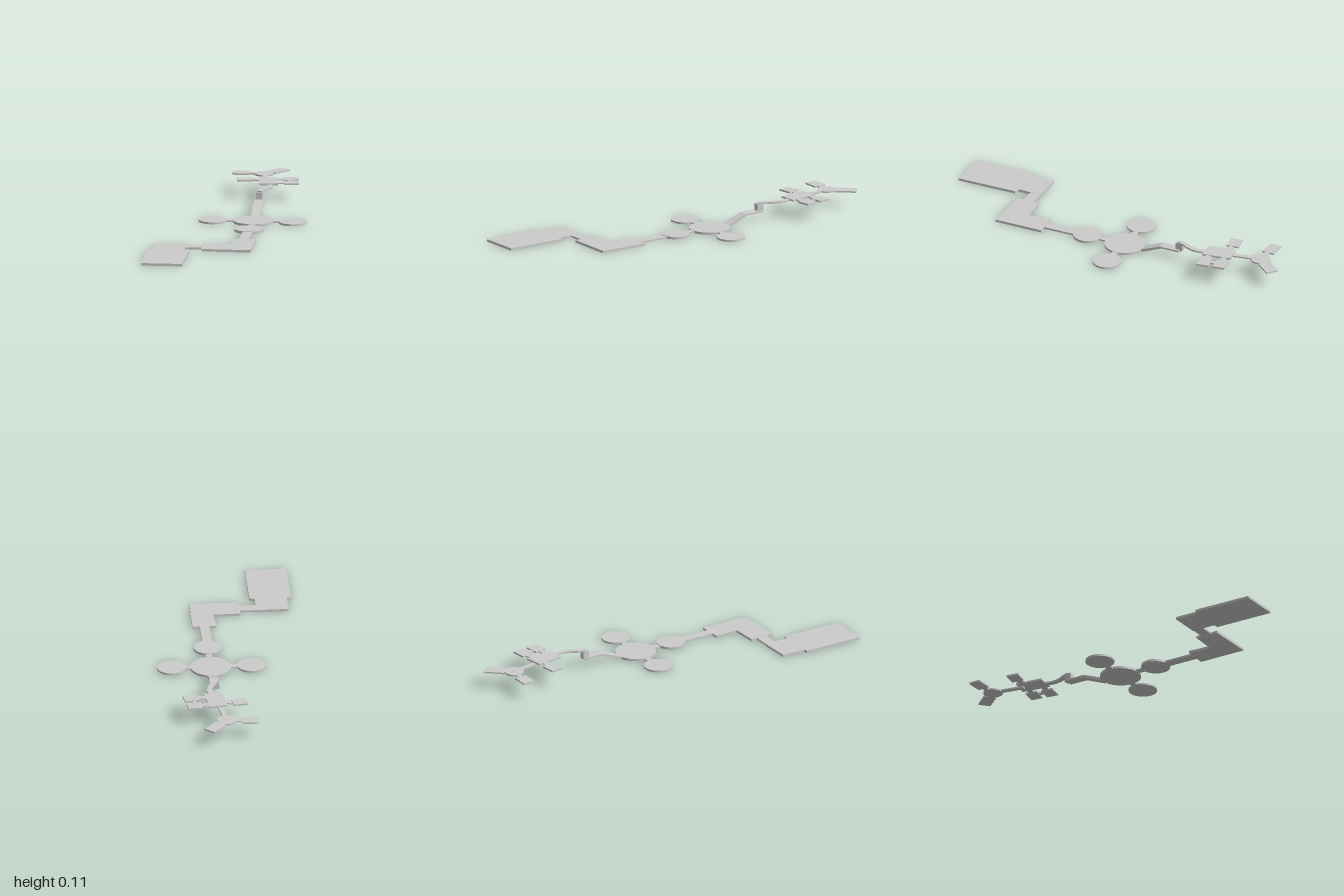
import * as THREE from 'three';

const material = new THREE.MeshStandardMaterial({ color: 0xcccccc });

export function createModel() {
  const root = new THREE.Group();
  root.name = 'chamberMap';

  const add = (name, geometry) => {
    const mesh = new THREE.Mesh(geometry, material);
    mesh.name = name;
    root.add(mesh);
    return mesh;
  };

  // Flat slab with an outline in x, z and a height range
  const slab = (name, points, y0, y1) => {
    const shape = new THREE.Shape(points.map(([x, z]) => new THREE.Vector2(x, -z)));
    const geometry = new THREE.ExtrudeGeometry(shape, { depth: y1 - y0, bevelEnabled: false });
    geometry.rotateX(-Math.PI / 2);
    geometry.translate(0, y0, 0);
    return add(name, geometry);
  };

  // Round slab
  const disc = (name, x, z, r, y0, y1) => {
    const mesh = add(name, new THREE.CylinderGeometry(r, r, y1 - y0, 48));
    mesh.position.set(x, (y0 + y1) / 2, z);
  };

  // Straight box running from a to b in x, z
  const bar = (name, a, b, width, y0, y1) => {
    const dx = b[0] - a[0], dz = b[1] - a[1];
    const mesh = add(name, new THREE.BoxGeometry(width, y1 - y0, Math.hypot(dx, dz)));
    mesh.position.set((a[0] + b[0]) / 2, (y0 + y1) / 2, (a[1] + b[1]) / 2);
    mesh.rotation.y = Math.atan2(dx, dz);
  };

  // Large angular halls
  slab('largeHall', [
    [0.156, 0.603], [0.293, 0.481], [0.383, 0.587], [0.41, 0.573],
    [0.642, 0.84], [0.465, 0.995], [0.232, 0.728], [0.246, 0.708],
  ], 0, 0.014);
  slab('cornerHall', [
    [0.457, 0.1], [0.642, 0.317], [0.43, 0.497],
    [0.34, 0.395], [0.452, 0.292], [0.357, 0.192],
  ], 0, 0.014);
  bar('hallPassage', [0.4, 0.432], [0.295, 0.523], 0.062, 0.002, 0.013);

  // Round chambers around the hub
  const hub = [0.082, -0.227];
  disc('hubChamber', ...hub, 0.116, 0.002, 0.015);
  const chambers = [[0.256, -0.368, 0.081], [-0.087, -0.072, 0.082], [0.235, -0.05, 0.082]];
  chambers.forEach(([x, z, r], i) => {
    disc('roundChamber' + (i + 1), x, z, r, 0.003, i === 2 ? 0.017 : 0.014);
    bar('chamberPassage' + (i + 1), hub, [x, z], 0.035, 0.004, 0.013);
  });
  bar('longPassage', [0.235, -0.05], [0.42, 0.163], 0.055, 0.003, 0.014);

  // Sloping ramp: side profile extruded across its width
  const profile = new THREE.Shape([
    [0.06, 0.003], [0.125, 0.003], [0.24, 0.051], [0.348, 0.051],
    [0.348, 0.061], [0.23, 0.061], [0.11, 0.014], [0.06, 0.014],
  ].map((p) => new THREE.Vector2(...p)));
  const rampGeometry = new THREE.ExtrudeGeometry(profile, { depth: 0.054, bevelEnabled: false });
  rampGeometry.translate(0, 0, -0.027);
  const ramp = add('ramp', rampGeometry);
  ramp.position.set(hub[0], 0, hub[1]);
  ramp.rotation.y = Math.atan2(0.756, -0.655);

  // Shaft and winding passage to the upper level
  bar('shaft', [-0.132, -0.468], [-0.157, -0.497], 0.034, 0.053, 0.1);
  const path = new THREE.CatmullRomCurve3([
    [-0.143, -0.478], [-0.16, -0.52], [-0.168, -0.56], [-0.19, -0.605], [-0.235, -0.645],
  ].map(([x, z]) => new THREE.Vector3(x, 0, z)));
  const sides = [[], []];
  for (let i = 0; i <= 16; i++) {
    const p = path.getPoint(i / 16), t = path.getTangent(i / 16);
    sides[0].push([p.x - t.z * 0.014, p.z + t.x * 0.014]);
    sides[1].unshift([p.x + t.z * 0.014, p.z - t.x * 0.014]);
  }
  slab('windingPassage', [...sides[0], ...sides[1]], 0.096, 0.106);

  // Upper hall with three small rooms
  slab('upperHall', [
    [-0.325, -0.783], [-0.198, -0.672], [-0.272, -0.598], [-0.39, -0.702],
  ], 0.1, 0.11);
  const rooms = [
    [[-0.275, -0.787], [-0.219, -0.85], [-0.3, -0.745]],
    [[-0.203, -0.724], [-0.147, -0.788], [-0.235, -0.69]],
    [[-0.392, -0.656], [-0.447, -0.592], [-0.345, -0.68]],
  ];
  rooms.forEach(([a, b, door], i) => {
    bar('smallRoom' + (i + 1), a, b, 0.07, 0.1, 0.11);
    bar('roomDoorway' + (i + 1), door, a, 0.032, 0.102, 0.108);
  });
  bar('roomLink', [-0.25, -0.81], [-0.18, -0.75], 0.022, 0.102, 0.108);

  // End chamber with its two rooms
  const end = [-0.486, -0.833];
  bar('endPassage', [-0.34, -0.715], end, 0.028, 0.092, 0.101);
  disc('endChamber', ...end, 0.055, 0.091, 0.1);
  bar('backRoom', [-0.486, -0.885], [-0.486, -1], 0.07, 0.091, 0.1);
  bar('backDoorway', end, [-0.486, -0.88], 0.03, 0.092, 0.099);
  bar('sideRoom', [-0.554, -0.786], [-0.629, -0.724], 0.07, 0.091, 0.1);
  bar('sideDoorway', end, [-0.56, -0.78], 0.028, 0.092, 0.099);

  return root;
}
